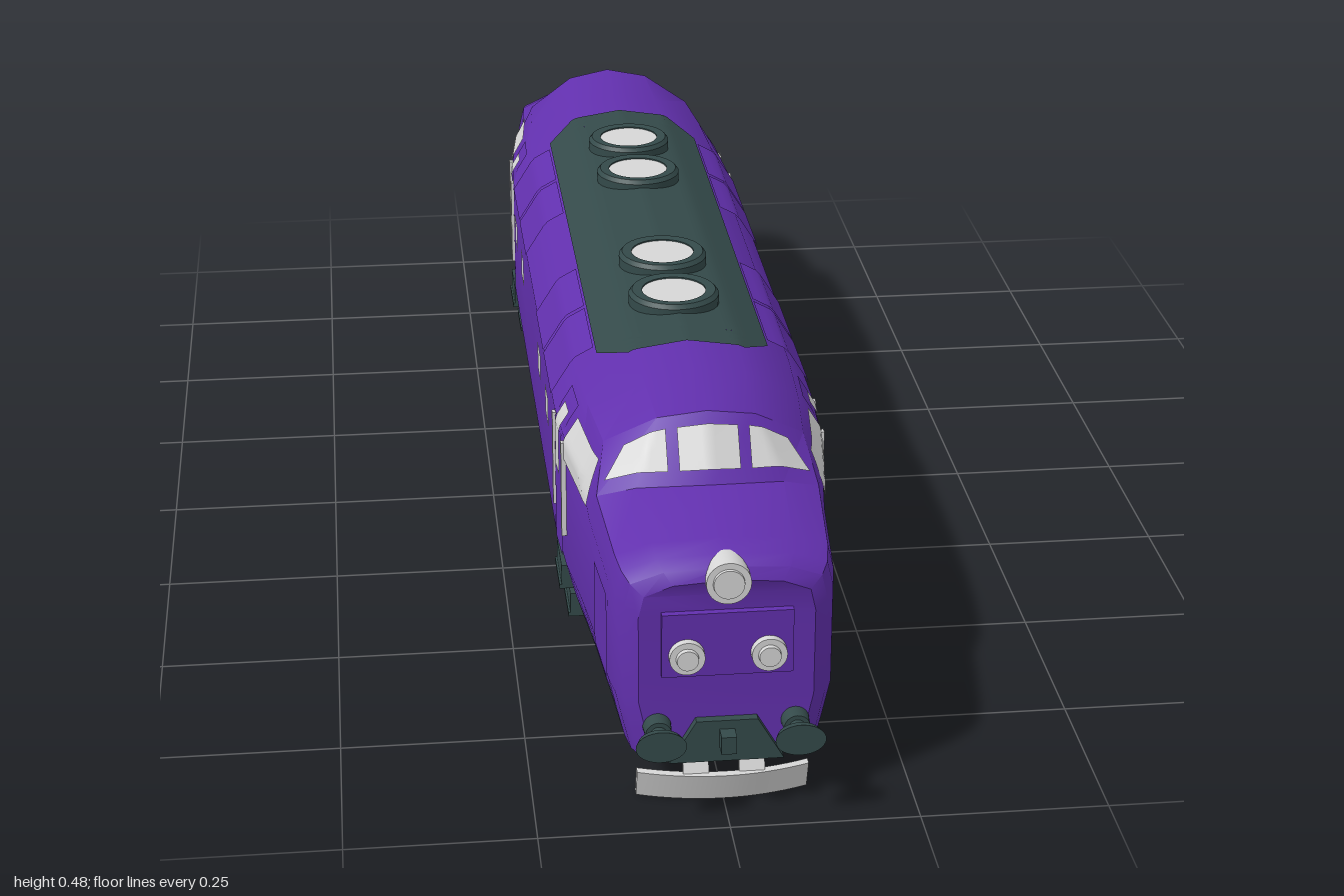
import * as THREE from 'three';
import { toCreasedNormals } from 'three/addons/utils/BufferGeometryUtils.js';

const mat = (name, color) => Object.assign(new THREE.MeshStandardMaterial({ color }), { name });

// Half cross-sections [width factor, y], from sill to centreline
const ROOF = [[.85, .078], [.925, .118], [1, .168], [1, .36], [.82, .413], [.4, .455], [0, .466]];
const NOSE = [[.86, .078], [.925, .118], [1, .168], [1, .32], [.94, .358], [.62, .378], [0, .386]];
// Stations: z, half width, section, height factor, lift, backward sweep of the sides
const STATIONS = [
  [0, .183, ROOF, 1, 0, 0], [.45, .183, ROOF, 1, 0, 0], [.58, .177, ROOF, 1, 0, .5],
  [.72, .164, ROOF, 1, 0, 1.8], [.78, .158, NOSE, 1, 0, 1.8], [.90, .147, NOSE, .95, 0, .9],
  [.93, .141, NOSE, .925, 0, .8], [.946, .131, NOSE, .89, 0, .8], [.953, .114, NOSE, .8, .012, .6],
];
const RINGS = STATIONS.map(([z, w, sec, h, lift, k]) => sec.map(([f, y]) => {
  const x = f * w;
  return new THREE.Vector3(x, .078 + lift + (y - .078) * h, z - k * x * x);
}));

// Half section at any station along the body
function sectionAt(u) {
  let i = 0;
  while (i < STATIONS.length - 2 && u > STATIONS[i + 1][0]) i++;
  const t = (u - STATIONS[i][0]) / (STATIONS[i + 1][0] - STATIONS[i][0]);
  return RINGS[i].map((p, j) => p.clone().lerp(RINGS[i + 1][j], t));
}

// Body point at station u where the section reaches a given y (sides) or x (roof)
function surface(u, axis, v) {
  const s = sectionAt(Math.abs(u));
  const q = axis === 'y' ? v : -Math.abs(v);
  const key = p => (axis === 'y' ? p.y : -p.x);
  let j = axis === 'y' ? 0 : 3;
  while (j < s.length - 2 && q > key(s[j + 1])) j++;
  const d = key(s[j + 1]) - key(s[j]);
  const p = s[j].clone().lerp(s[j + 1], d ? (q - key(s[j])) / d : 0);
  if (axis === 'x' && v < 0) p.x *= -1;
  if (u < 0) p.z *= -1;
  return p;
}

// Thin plate following the body; corners are [u, v] in order around the plate
function patch(corners, axis, side = 1, offset = .003, n = 10) {
  const pos = [], idx = [];
  const [a, b, c, d] = corners;
  const mix = (p, q, t) => p + (q - p) * t;
  for (let i = 0; i <= n; i++) for (let j = 0; j <= n; j++) {
    const s = i / n, t = j / n;
    const uv = [0, 1].map(k => mix(mix(a[k], b[k], s), mix(d[k], c[k], s), t));
    const p = surface(uv[0], axis, uv[1]);
    pos.push(p.x * side, p.y, p.z);
    if (i < n && j < n) {
      const o = i * (n + 1) + j;
      idx.push(o, o + n + 1, o + n + 2, o, o + n + 2, o + 1);
    }
  }
  const g = new THREE.BufferGeometry();
  g.setAttribute('position', new THREE.Float32BufferAttribute(pos, 3));
  g.setIndex(idx);
  g.computeVertexNormals();
  // Make the plate face outwards
  const P = g.attributes.position, N = g.attributes.normal, m = Math.floor(P.count / 2);
  if (N.getX(m) * P.getX(m) + N.getY(m) * (P.getY(m) - .25) + N.getZ(m) * P.getZ(m) * .2 < 0) {
    g.setIndex(idx.reverse());
    g.computeVertexNormals();
  }
  for (let i = 0; i < P.count; i++) {
    P.setXYZ(i, P.getX(i) + g.attributes.normal.getX(i) * offset,
      P.getY(i) + g.attributes.normal.getY(i) * offset,
      P.getZ(i) + g.attributes.normal.getZ(i) * offset);
  }
  return g;
}

// Lofted shell, split into painted upper body and dark sill
function shell() {
  const out = { body: [], sill: [] };
  const quad = (list, a, b, c, d) => [a, b, c, a, c, d].forEach(p => list.push(p.x, p.y, p.z));
  for (const sx of [1, -1]) for (const sz of [1, -1]) {
    const at = (i, j) => RINGS[i][j].clone().multiply(new THREE.Vector3(sx, 1, sz));
    const face = (list, a, b, c, d) => (sx * sz > 0 ? quad(list, a, b, c, d) : quad(list, d, c, b, a));
    const mid = p => new THREE.Vector3(0, p.y, p.z);
    const last = RINGS.length - 1;
    for (let i = 0; i < last; i++) {
      for (let j = 0; j < 6; j++) {
        face(j === 0 && i < 5 ? out.sill : out.body, at(i, j), at(i, j + 1), at(i + 1, j + 1), at(i + 1, j));
      }
      face(out.sill, mid(at(i, 0)), at(i, 0), at(i + 1, 0), mid(at(i + 1, 0)));
    }
    for (let j = 0; j < 6; j++) {
      face(out.body, at(last, j), at(last, j + 1), mid(at(last, j + 1)), mid(at(last, j)));
    }
  }
  const geo = list => {
    const g = new THREE.BufferGeometry();
    g.setAttribute('position', new THREE.Float32BufferAttribute(list, 3));
    return toCreasedNormals(g, .55);
  };
  return { body: geo(out.body), sill: geo(out.sill) };
}

export function createModel() {
  const model = new THREE.Group();
  model.name = 'locomotive';
  const purple = mat('purple paint', 0x6230ae);
  const dark = mat('dark slate', 0x344a4a);
  const light = mat('light grey', 0xd6d6d6);
  const add = (parent, name, geo, m, x = 0, y = 0, z = 0) => {
    const mesh = new THREE.Mesh(geo, m);
    mesh.name = name;
    mesh.position.set(x, y, z);
    parent.add(mesh);
    return mesh;
  };
  const box = (w, h, d) => new THREE.BoxGeometry(w, h, d);
  const rod = (r1, r2, len) => new THREE.CylinderGeometry(r1, r2, len, 32).rotateX(Math.PI / 2);
  const rect = (u0, u1, y0, y1) => [[u0, y0], [u1, y0], [u1, y1], [u0, y1]];

  const { body, sill } = shell();
  add(model, 'bodyShell', body, purple);
  add(model, 'sillAndFloor', sill, dark);

  // Dark roof panel with chamfered ends
  add(model, 'roofPanel', patch([[-.44, -.12], [.44, -.12], [.44, .12], [-.44, .12]], 'x', 1, .003, 24), dark);
  for (const s of [1, -1]) {
    add(model, 'roofPanelEnd', patch([[s * .44, -.12], [s * .492, -.08], [s * .492, .08], [s * .44, .12]], 'x', 1, .003, 24), dark);
  }

  // Roof fans
  for (const z of [-.33, -.18, .18, .33]) {
    const ring = [[.046, .455], [.046, .479], [.06, .48], [.065, .474], [.065, .445]].reverse()
      .map(([r, y]) => new THREE.Vector2(r, y));
    add(model, 'fanRing', toCreasedNormals(new THREE.LatheGeometry(ring, 32), .5), dark, 0, 0, z);
    add(model, 'fanDisc', new THREE.CylinderGeometry(.048, .048, .02, 32), light, 0, .467, z);
  }

  // Underfloor tanks
  const tank = new THREE.Shape([[-.15, .085], [-.15, .045], [-.118, .002], [.118, .002], [.15, .045], [.15, .085]]
    .map(p => new THREE.Vector2(...p)));
  for (const z of [.012, -.432]) {
    add(model, 'underfloorTank', new THREE.ExtrudeGeometry(tank, { depth: .42, bevelEnabled: false }), dark, 0, 0, z);
  }

  // Side details, repeated on both sides and both ends
  for (const sx of [1, -1]) for (const sz of [1, -1]) {
    const plate = (name, c, m, off) => add(model, name, patch(c.map(([u, y]) => [u * sz, y]), 'y', sx, off), m);
    plate('cabSideWindow', [[.585, .333], [.765, .333], [.74, .394], [.585, .394]], light);
    plate('door', rect(.478, .555, .168, .4), purple, .002);
    plate('doorWindow', rect(.498, .54, .29, .383), light, .004);
    for (const z of [.343, .188]) plate('bodyWindow', rect(z - .029, z + .029, .29, .333), light);
    for (const z of [.343, .19]) plate('shoulderPanel', rect(z - .072, z + .072, .361, .428), purple, .003);
    plate('noseSidePanel', rect(.82, .9, .15, .285), purple, .002);
    for (const [z, x] of [[.465, .179], [.567, .175]]) {
      add(model, 'handrail', box(.016, .142, .01), light, sx * x, .286, sz * z);
    }
    for (const [y, x] of [[.143, .168], [.098, .156]]) {
      add(model, 'step', box(.03, .036, .086), dark, sx * x, y, sz * .515);
      add(model, 'stepTread', box(.036, .006, .086), dark, sx * x, y - .015, sz * .515);
    }
  }

  // Parts of one end, facing +z
  const end = new THREE.Group();
  end.name = 'endFittings';
  add(end, 'windscreen', patch([[.731, -.04], [.731, .04], [.768, .04], [.768, -.04]], 'x'), light);
  for (const s of [1, -1]) {
    add(end, 'windscreenSide', patch([[.731, s * .055], [.735, s * .108], [.766, s * .136], [.768, s * .055]], 'x'), light);
    // Marker lights
    add(end, 'markerLight', rod(.023, .024, .03), light, s * .053, .232, .95);
    add(end, 'markerLens', rod(.014, .015, .008), light, s * .053, .232, .967);
    // Buffers
    add(end, 'bufferBase', rod(.017, .02, .045), dark, s * .09, .125, .945);
    add(end, 'bufferStem', rod(.011, .011, .05), dark, s * .09, .125, .97);
    add(end, 'bufferHead', rod(.033, .029, .012), dark, s * .09, .125, .994).scale.y = .67;
    // Guard brackets
    const bracket = add(end, 'guardBracket', box(.034, .064, .007), light, s * .037, .068, .918);
    bracket.rotation.x = -.45;
  }
  add(end, 'headlight', rod(.029, .03, .05), light, 0, .335, .935);
  add(end, 'headlightLens', rod(.02, .021, .008), light, 0, .335, .96);
  add(end, 'nosePanel', box(.17, .09, .012), purple, 0, .246, .949);

  // Coupling plate below the nose
  const plate = new THREE.Shape([[-.075, .075], [.075, .075], [.04, .135], [-.04, .135]].map(p => new THREE.Vector2(...p)));
  add(end, 'couplingPlate', new THREE.ExtrudeGeometry(plate, { depth: .03, bevelEnabled: false }), dark, 0, 0, .928);
  add(end, 'coupling', box(.02, .025, .03), dark, 0, .11, .965);

  // Curved rail guard, leaning forward at the bottom
  const guard = new THREE.BoxGeometry(.227, .043, .012, 16, 1, 1);
  const P = guard.attributes.position;
  for (let i = 0; i < P.count; i++) {
    P.setZ(i, P.getZ(i) - 1.6 * P.getX(i) ** 2 - P.getY(i) * -.35);
  }
  guard.computeVertexNormals();
  add(end, 'railGuard', guard, light, 0, .0215, .93);

  const rear = end.clone();
  rear.rotation.y = Math.PI;
  model.add(end, rear);
  return model;
}
